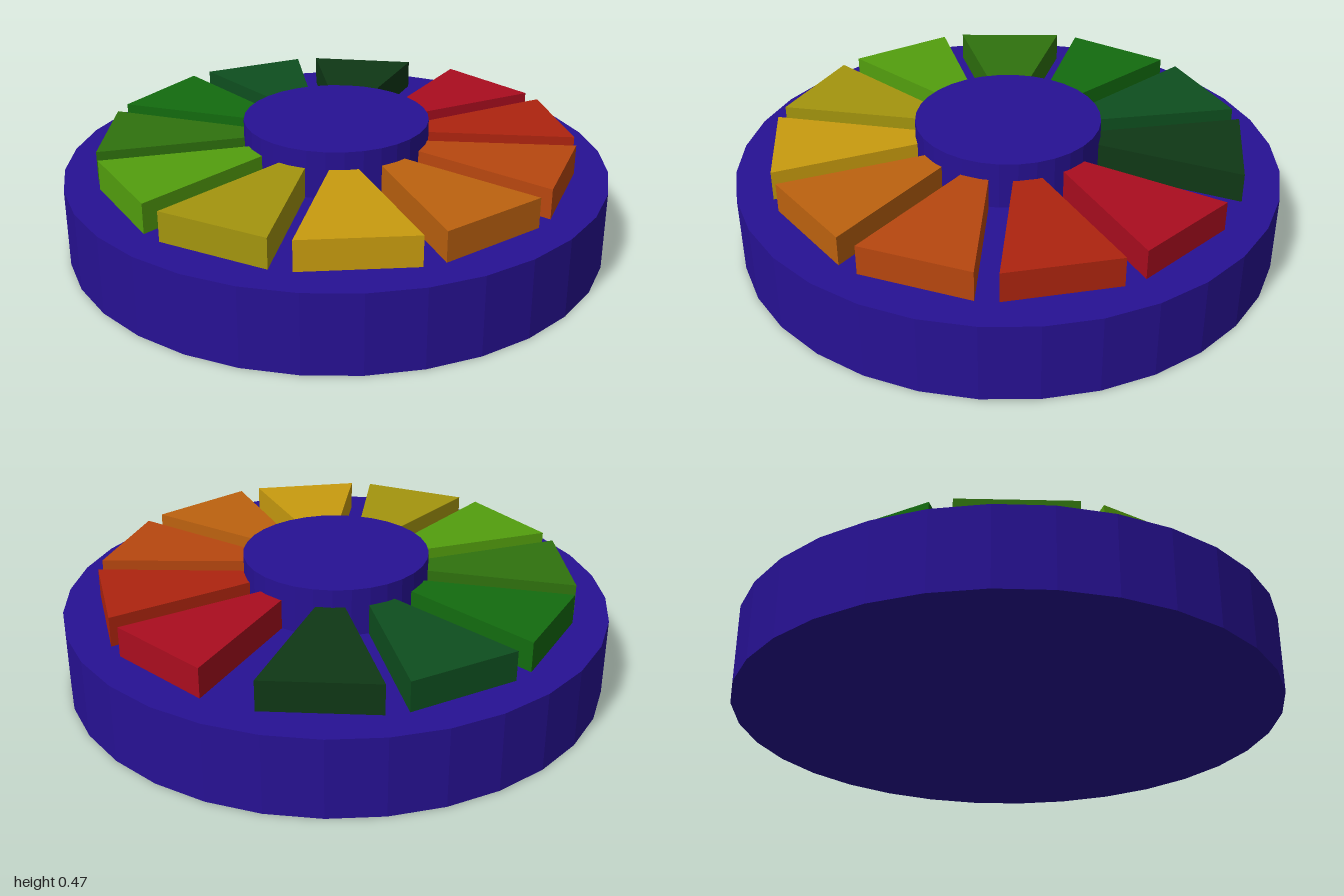
import * as THREE from 'three';

const BASE_TOP = 0.29, WEDGE_TOP = 0.4, HUB_TOP = 0.466;

function material(color) {
  return new THREE.MeshStandardMaterial({ color, flatShading: true });
}

// Upright faceted disc between two heights
function disc(name, radius, y0, y1) {
  const geometry = new THREE.CylinderGeometry(radius, radius, y1 - y0, 32);
  geometry.translate(0, (y0 + y1) / 2, 0);
  const mesh = new THREE.Mesh(geometry, material(0x271194));
  mesh.name = name;
  return mesh;
}

export function createModel() {
  const model = new THREE.Group();
  model.name = 'segmentedWheel';

  // Base and raised centre
  model.add(disc('base', 1, 0, BASE_TOP));
  model.add(disc('hub', 0.34, BASE_TOP, HUB_TOP));

  // Trapezoid wedge pointing to the back; its narrow end runs under the hub
  const shape = new THREE.Shape([
    new THREE.Vector2(-0.03, 0.26),
    new THREE.Vector2(0.03, 0.26),
    new THREE.Vector2(0.203, 0.851),
    new THREE.Vector2(-0.203, 0.851),
  ]);
  const wedgeGeometry = new THREE.ExtrudeGeometry(shape, { depth: WEDGE_TOP - BASE_TOP, bevelEnabled: false });
  wedgeGeometry.rotateX(-Math.PI / 2);
  wedgeGeometry.translate(0, BASE_TOP, 0);

  // Coloured ring, clockwise from red to dark green, with a wider gap at the ends
  const colors = [
    0xab0d1f, 0xae240f, 0xb8470f, 0xbd620f, 0xc99c0f, 0xa4950e,
    0x539f0e, 0x2f720e, 0x136c0f, 0x0e4f1f, 0x0f3816,
  ];
  const wedges = new THREE.Group();
  wedges.name = 'wedges';
  colors.forEach((color, i) => {
    const wedge = new THREE.Mesh(wedgeGeometry, material(color));
    wedge.name = `wedge${i + 1}`;
    wedge.rotation.y = -THREE.MathUtils.degToRad(40.9 + 32.04 * i);
    wedges.add(wedge);
  });
  model.add(wedges);

  return model;
}
